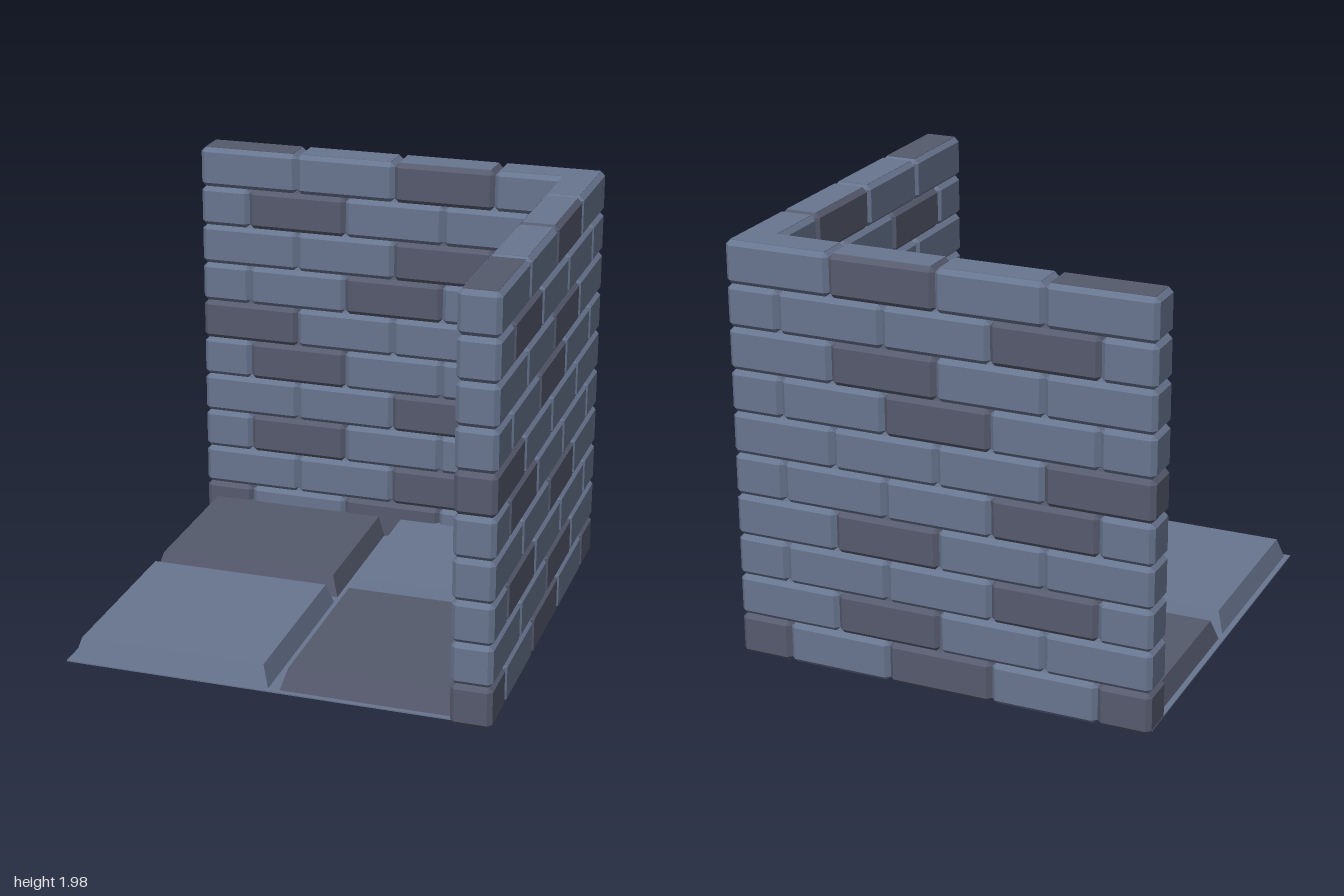
import * as THREE from 'three';
import { ConvexGeometry } from 'three/addons/geometries/ConvexGeometry.js';

const ROWS = 10, ROW_H = 0.198, DEPTH = 0.19, BEVEL = 0.021;
// Start positions of the dark bricks in each course, bottom to top
const DARK_STARTS = [[-1, -0.25, 0.75], [0], [-0.75], [0], [-0.75], [-1], [-0.25], [0], [-0.75], [0]];

// Box with every edge cut at 45 degrees
function chamferedBox(w, h, d, b) {
  const points = [];
  for (const sx of [-1, 1]) for (const sy of [-1, 1]) for (const sz of [-1, 1]) {
    for (const axis of [0, 1, 2]) {
      const cut = [b, b, b];
      cut[axis] = 0;
      points.push(new THREE.Vector3(sx * (w / 2 - cut[0]), sy * (h / 2 - cut[1]), sz * (d / 2 - cut[2])));
    }
  }
  return new ConvexGeometry(points);
}

export function createModel() {
  const model = new THREE.Group();
  model.name = 'brickCorner';
  const light = new THREE.MeshStandardMaterial({ color: 0x68758f, flatShading: true });
  const dark = new THREE.MeshStandardMaterial({ color: 0x555a6d, flatShading: true });

  const add = (parent, name, geometry, material, x, y, z) => {
    const mesh = new THREE.Mesh(geometry, material);
    mesh.name = name;
    mesh.position.set(x, y, z);
    parent.add(mesh);
    return mesh;
  };

  const fullBrick = chamferedBox(0.5, ROW_H, DEPTH, BEVEL);
  const halfBrick = chamferedBox(0.25, ROW_H, DEPTH, BEVEL);
  const capFace = new THREE.BoxGeometry(0.5 - 2 * BEVEL, 0.004, DEPTH - 2 * BEVEL);

  // Running-bond wall along x, centred on its own thickness
  function createWall(name) {
    const wall = new THREE.Group();
    wall.name = name;
    for (let row = 0; row < ROWS; row++) {
      const y = (row + 0.5) * ROW_H;
      const starts = row % 2 ? [-1, -0.5, 0, 0.5] : [-1, -0.75, -0.25, 0.25, 0.75];
      for (const start of starts) {
        const half = row % 2 === 0 && Math.abs(start) > 0.75 || start === 0.75;
        const material = DARK_STARTS[row].includes(start) ? dark : light;
        add(wall, 'brick', half ? halfBrick : fullBrick, material, start + (half ? 0.125 : 0.25), y, 0);
      }
    }
    // Top faces of the last course, the free end darker
    for (let i = 0; i < 4; i++) {
      add(wall, 'topFace', capFace, i === 0 ? dark : light, -0.75 + i * 0.5, ROWS * ROW_H, 0);
    }
    model.add(wall);
    return wall;
  }

  createWall('backWall').position.z = -1 + DEPTH / 2;
  const sideWall = createWall('sideWall');
  sideWall.rotation.y = Math.PI / 2;
  sideWall.position.x = 1 - DEPTH / 2;

  // Thin floor sheet, slightly above the underside of the walls
  add(model, 'floorBase', new THREE.BoxGeometry(1.96, 0.006, 1.95), light, -0.02, 0.017, 0.005);

  // Four raised floor tiles with sloping sides
  const tile = new THREE.CylinderGeometry(0.877 / Math.SQRT2, 0.94 / Math.SQRT2, 0.1, 4);
  tile.rotateY(Math.PI / 4);
  for (const [i, x] of [-0.504, 0.49].entries()) {
    for (const [j, z] of [-0.504, 0.488].entries()) {
      add(model, 'floorTile', tile, i === j ? dark : light, x, 0.07, z);
    }
  }
  return model;
}
